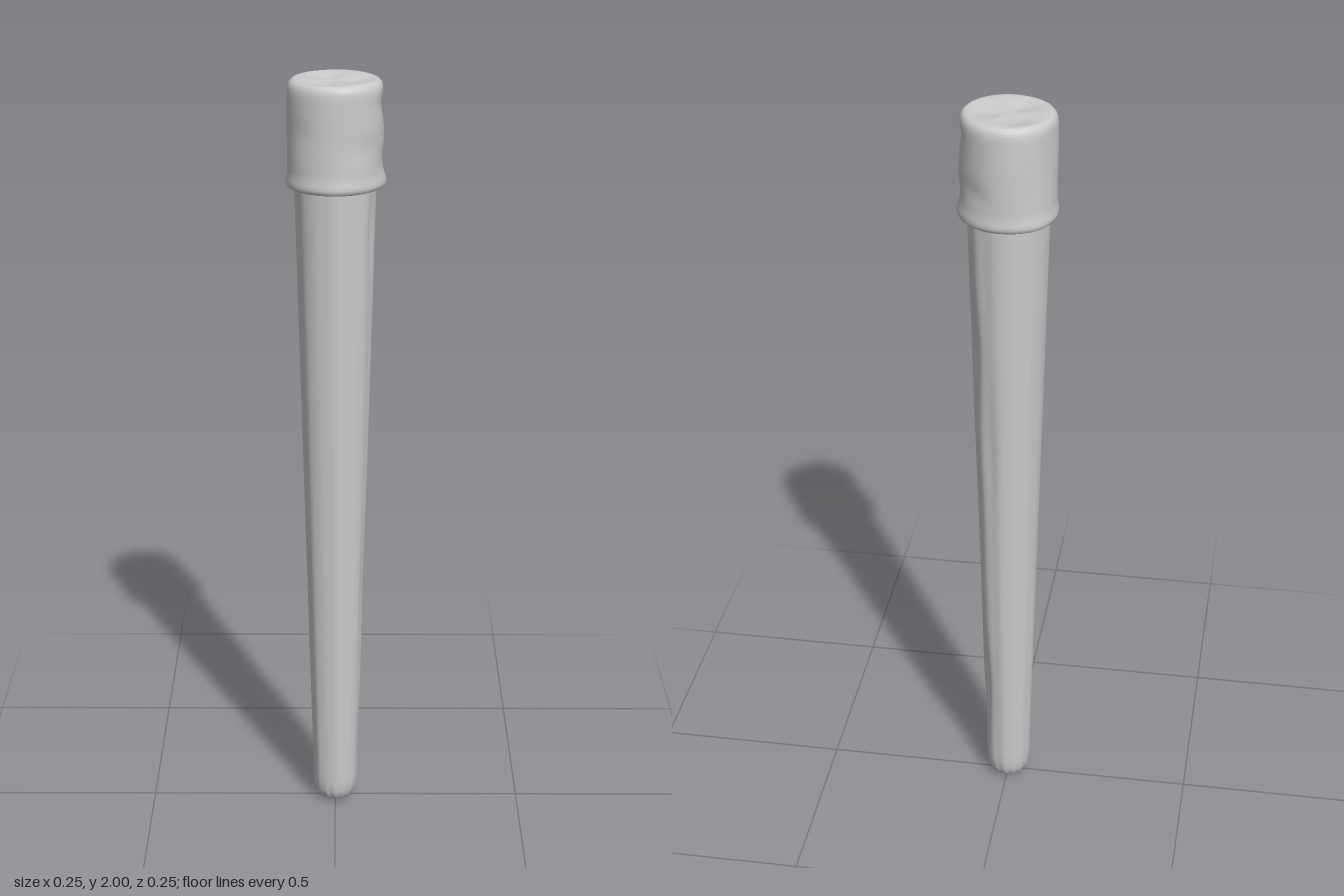
import * as THREE from 'three';
import { mergeVertices } from 'three/addons/utils/BufferGeometryUtils.js';

const material = new THREE.MeshStandardMaterial({ color: 0xcccccc });

// Lathed part whose radius is scaled by rule(angle, y); angle 0 faces +z, PI/2 faces +x
function hewnLathe(name, profile, segments, rule) {
  const points = profile.map(([r, y]) => new THREE.Vector2(r, y));
  let geometry = new THREE.LatheGeometry(points, segments);
  const p = geometry.attributes.position;
  for (let i = 0; i < p.count; i++) {
    const x = p.getX(i), y = p.getY(i), z = p.getZ(i);
    const s = rule(Math.atan2(x, z), y);
    p.setXYZ(i, x * s, y, z * s);
  }
  // Weld the seam and poles so shading stays smooth
  geometry.deleteAttribute('uv');
  geometry.deleteAttribute('normal');
  geometry = mergeVertices(geometry, 1e-5);
  geometry.computeVertexNormals();
  const mesh = new THREE.Mesh(geometry, material);
  mesh.name = name;
  return mesh;
}

// Smooth hollow centred on an angle and height, returning its depth
function dent(angle, y, [a0, y0, width, height, depth]) {
  const da = Math.atan2(Math.sin(angle - a0), Math.cos(angle - a0)) / width;
  const dy = (y - y0) / height;
  return depth * Math.exp(-da * da - dy * dy);
}
const dents = (list, angle, y) => list.reduce((sum, d) => sum + dent(angle, y, d), 0);

// Hollows: angle, height, angular width, vertical extent, relative depth
const shaftDents = [
  [2.1, 1.38, 0.3, 0.12, 0.09], [1.95, 0.92, 0.25, 0.14, 0.07],
  [2.2, 0.32, 0.3, 0.14, 0.1], [1.4, 0.65, 0.25, 0.16, 0.05],
  [1.2, 1.62, 0.25, 0.08, 0.05], [1.7, 0.2, 0.3, 0.1, 0.06],
  [2.7, 1.1, 0.25, 0.15, 0.04],
];
const headDents = [
  [1.5, 1.94, 0.5, 0.03, 0.06], [1.6, 1.8, 0.5, 0.03, 0.05],
  [0.7, 1.84, 0.4, 0.03, 0.03], [2.5, 1.82, 0.35, 0.03, 0.04],
  [-0.8, 1.87, 0.5, 0.04, 0.02],
];

export function createModel() {
  const group = new THREE.Group();
  group.name = 'taperedStake';

  // Long tapered shaft with a rounded foot
  const shaftProfile = [[0, 0.015], [0.012, 0.008], [0.025, 0.01], [0.04, 0.016], [0.05, 0.027], [0.056, 0.045], [0.059, 0.07]];
  for (let i = 1; i <= 50; i++) {
    const t = i / 50;
    shaftProfile.push([0.059 + 0.043 * t, 0.07 + 1.69 * t]);
  }
  group.add(hewnLathe('shaft', shaftProfile, 64, (a, y) => {
    const facets = 0.012 * Math.cos(8 * a) + 0.006 * Math.sin(13 * a + y);
    const footFolds = 0.05 * Math.cos(14 * a) * Math.exp(-Math.pow(y / 0.04, 2));
    return 1 + facets + footFolds - dents(shaftDents, a, y);
  }));

  // Cap with a slightly flared lower rim and softened top edge
  const headProfile = [[0, 1.735], [0.08, 1.735], [0.112, 1.733], [0.118, 1.733], [0.123, 1.737], [0.125, 1.745], [0.124, 1.755], [0.121, 1.768]];
  for (let i = 1; i <= 16; i++) headProfile.push([0.121 - 0.002 * i / 16, 1.768 + 0.2 * i / 16]);
  headProfile.push([0.118, 1.98], [0.115, 1.99], [0.109, 1.997], [0.1, 2], [0.075, 1.998], [0.04, 1.995], [0, 1.994]);
  const head = hewnLathe('head', headProfile, 64, (a, y) =>
    1 + 0.008 * Math.sin(3 * a + 9 * y) + 0.006 * Math.sin(5 * a - 25 * y) - dents(headDents, a, y));
  group.add(head);

  // Shallow uneven hollows on the top face
  const p = head.geometry.attributes.position;
  for (let i = 0; i < p.count; i++) {
    const r = Math.hypot(p.getX(i), p.getZ(i));
    if (p.getY(i) > 1.99 && r < 0.09 && r > 0.01) {
      p.setY(i, p.getY(i) - 0.003 + 0.003 * Math.sin(3 * Math.atan2(p.getX(i), p.getZ(i))));
    }
  }
  head.geometry.computeVertexNormals();

  // Stand the foot on the ground
  group.children[0].position.y = -0.008;
  return group;
}
